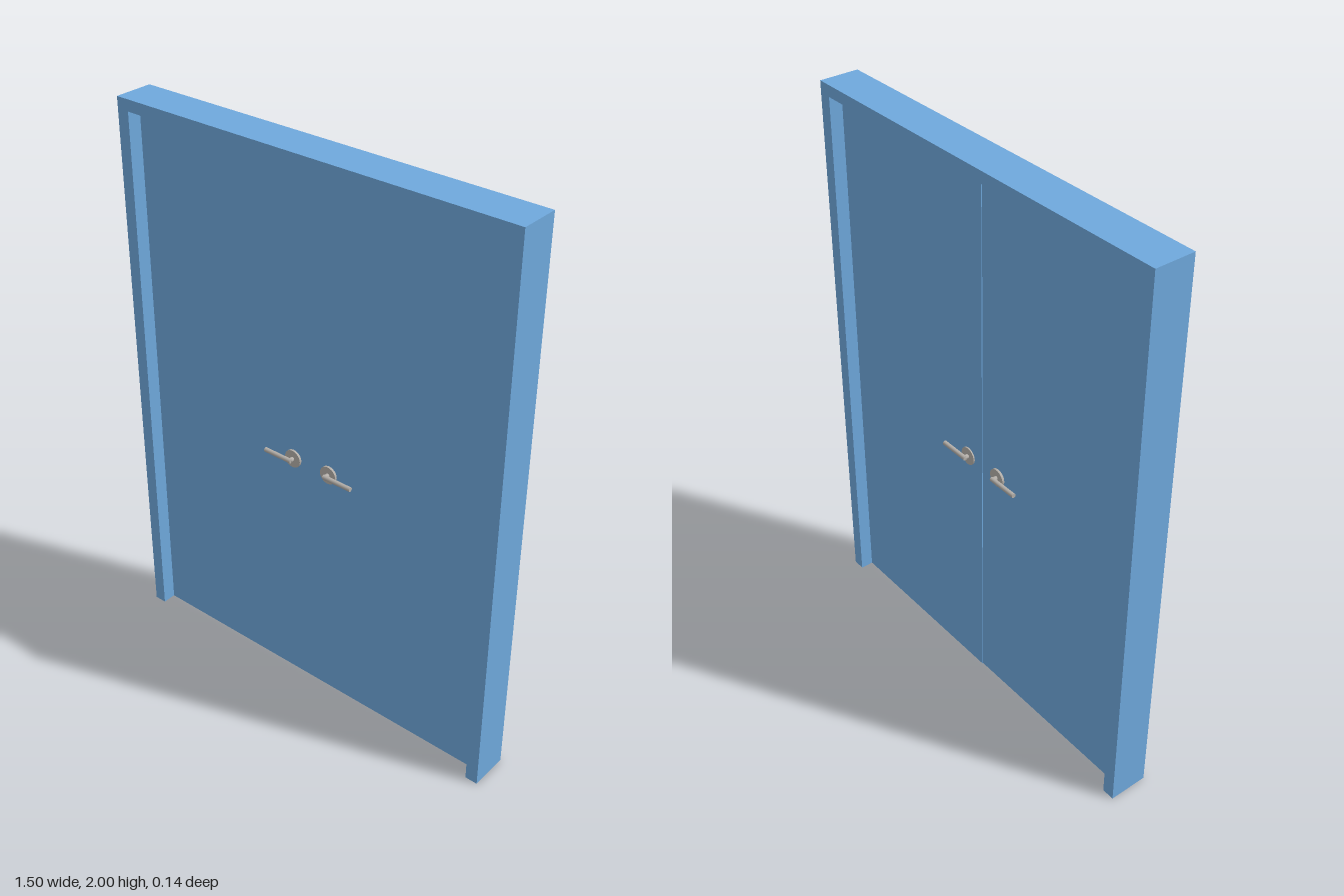
import * as THREE from 'three';

export function createModel() {
  const model = new THREE.Group();
  const paint = new THREE.MeshStandardMaterial({ color: 0x6fa8dc });
  const metal = new THREE.MeshStandardMaterial({ color: 0xb3aea8 });

  const W = 0.75, H = 2, D = 0.14;        // frame half width, height, depth
  const innerW = 0.705, innerH = 1.96;    // door opening
  const face = 0.02;                      // door face distance from the centre plane

  const add = (parent, name, geometry, material, x = 0, y = 0, z = 0) => {
    const mesh = new THREE.Mesh(geometry, material);
    mesh.name = name;
    mesh.position.set(x, y, z);
    parent.add(mesh);
    return mesh;
  };

  // Frame: two jambs and a head, open at the floor
  const outline = new THREE.Shape([
    [-W, 0], [-innerW, 0], [-innerW, innerH], [innerW, innerH],
    [innerW, 0], [W, 0], [W, H], [-W, H],
  ].map(([x, y]) => new THREE.Vector2(x, y)));
  add(model, 'doorFrame',
    new THREE.ExtrudeGeometry(outline, { depth: D, bevelEnabled: false }),
    paint, 0, 0, -D / 2);

  // Two leaves, flush in front, with a slight step at the meeting line behind
  for (const side of [1, -1]) {
    const thickness = 2 * face + (side > 0 ? 0.003 : 0);
    add(model, side > 0 ? 'leftLeaf' : 'rightLeaf',
      new THREE.BoxGeometry(innerW, innerH, thickness),
      paint, side * innerW / 2, innerH / 2, face - thickness / 2);
  }

  // Lever handle: round rose, spindle and lever pointing to +x or -x
  function leverHandle(name, dir) {
    const handle = new THREE.Group();
    handle.name = name;
    const along = (radius, length, sides) =>
      new THREE.CylinderGeometry(radius, radius, length, sides).rotateX(Math.PI / 2);
    add(handle, 'rose', along(0.032, 0.008, 24), metal, 0, 0, 0.004);
    add(handle, 'spindle', along(0.008, 0.022, 16), metal, 0, 0, 0.011);
    const lever = new THREE.CylinderGeometry(0.008, 0.008, 0.112, 16).rotateZ(Math.PI / 2);
    add(handle, 'lever', lever, metal, dir * 0.05, 0, 0.022);
    return handle;
  }

  // A pair of handles on the front and another on the back
  for (const facing of [1, -1]) {
    for (const side of [1, -1]) {
      const name = (facing > 0 ? 'front' : 'back') + (side > 0 ? 'Left' : 'Right') + 'Handle';
      const handle = leverHandle(name, side * facing);
      handle.position.set(side > 0 ? 0.07 : -0.08, 0.912, facing * face);
      if (facing < 0) handle.rotation.y = Math.PI;
      model.add(handle);
    }
  }

  return model;
}
